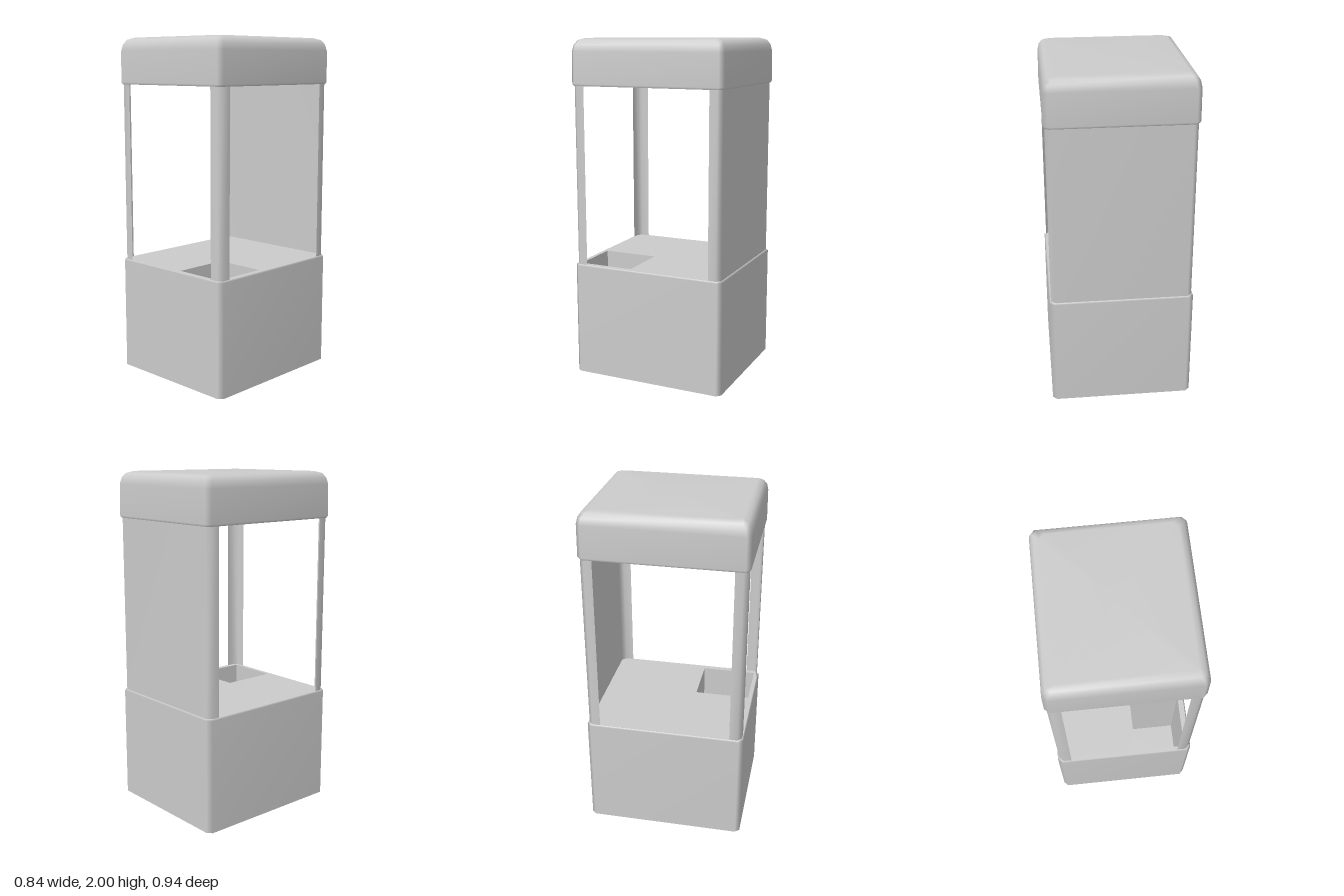
import * as THREE from 'three';

const HX = 0.42, HZ = 0.47;          // outer half width and half depth
const DECK = 0.675, ROOF = 1.73;     // deck height and roof underside

// Rectangle with chamfered corners as [x, z] pairs
function outline(hx, hz, c) {
  return [[hx, -hz + c], [hx, hz - c], [hx - c, hz], [-hx + c, hz],
    [-hx, hz - c], [-hx, -hz + c], [-hx + c, -hz], [hx - c, -hz]];
}

// Smooth skin through stacked rings; each ring is { pts, y }
function loft(rings, closed, capTop = false) {
  const n = rings[0].pts.length, pos = [], idx = [];
  for (const { pts, y } of rings) for (const [x, z] of pts) pos.push(x, y, z);
  for (let i = 0; i < rings.length - 1; i++) {
    for (let j = 0; j < (closed ? n : n - 1); j++) {
      const a = i * n + j, b = i * n + (j + 1) % n;
      idx.push(a, a + n, b, b, a + n, b + n);
    }
  }
  if (capTop) {
    const base = (rings.length - 1) * n, centre = pos.length / 3;
    pos.push(0, rings[rings.length - 1].y, 0);
    for (let j = 0; j < n; j++) idx.push(base + j, centre, base + (j + 1) % n);
  }
  const g = new THREE.BufferGeometry();
  g.setAttribute('position', new THREE.Float32BufferAttribute(pos, 3));
  g.setIndex(idx);
  g.computeVertexNormals();
  return g;
}

// Flat horizontal sheet facing up, with an optional hole
function sheet(pts, y, hole) {
  const toV = ([x, z]) => new THREE.Vector2(x, -z);
  const shape = new THREE.Shape(pts.map(toV));
  if (hole) shape.holes.push(new THREE.Path(hole.map(toV)));
  return new THREE.ShapeGeometry(shape).rotateX(-Math.PI / 2).translate(0, y, 0);
}

export function createModel() {
  const model = new THREE.Group();
  model.name = 'arcadeCabinet';
  const mat = new THREE.MeshStandardMaterial({ color: 0xcccccc, side: THREE.DoubleSide });
  const add = (name, geometry) => {
    const mesh = new THREE.Mesh(geometry, mat);
    mesh.name = name;
    model.add(mesh);
    return mesh;
  };
  const C = 0.025;

  // Hollow base, open underneath
  const baseRing = outline(HX, HZ, C);
  const deckRing = outline(HX - 0.006, HZ - 0.006, C);
  add('baseWalls', loft([
    { pts: baseRing, y: 0 }, { pts: baseRing, y: DECK - 0.008 }, { pts: deckRing, y: DECK },
  ], true));

  // Deck with the square prize opening
  const x0 = 0.07, x1 = 0.38, z0 = 0.11, z1 = 0.44;
  add('deck', sheet(deckRing, DECK, [[x0, z0], [x0, z1], [x1, z1], [x1, z0]]));

  // Chute below the opening: a box without its top face
  const chute = new THREE.BoxGeometry(x1 - x0, DECK, z1 - z0)
    .translate((x0 + x1) / 2, DECK / 2, (z0 + z1) / 2);
  const faces = Array.from(chute.index.array);
  chute.setIndex([...faces.slice(0, 12), ...faces.slice(18)]);
  chute.clearGroups();
  add('prizeChute', chute);

  // Thin angled front posts
  const px = 0.41, pz = 0.46, ix = 0.335, iz = 0.388;
  const upright = (pts) => loft([{ pts, y: DECK }, { pts, y: ROOF }], false);
  const corner = [[px, iz], [px, pz - C], [px - C, pz], [ix, pz]];
  add('frontPostLeft', upright(corner));
  add('frontPostRight', upright(corner.map(([x, z]) => [-x, z]).reverse()));

  // Back panel folded round both rear corners
  add('backPanel', upright([[-px, -iz], [-px, -pz + C], [-px + C, -pz],
    [px - C, -pz], [px, -pz + C], [px, -iz]]));

  // Roof with softened top edges and a flat underside
  const profile = [[0.006, ROOF], [0, ROOF + 0.012], [0.002, 1.925], [0.01, 1.962],
    [0.027, 1.988], [0.06, 2]];
  const rings = profile.map(([inset, y]) => ({ pts: outline(HX - inset, HZ - inset, C), y }));
  add('roof', loft(rings, true, true));
  const under = sheet(rings[0].pts, 0).rotateX(Math.PI).translate(0, ROOF, 0);
  add('roofUnderside', under);

  return model;
}
